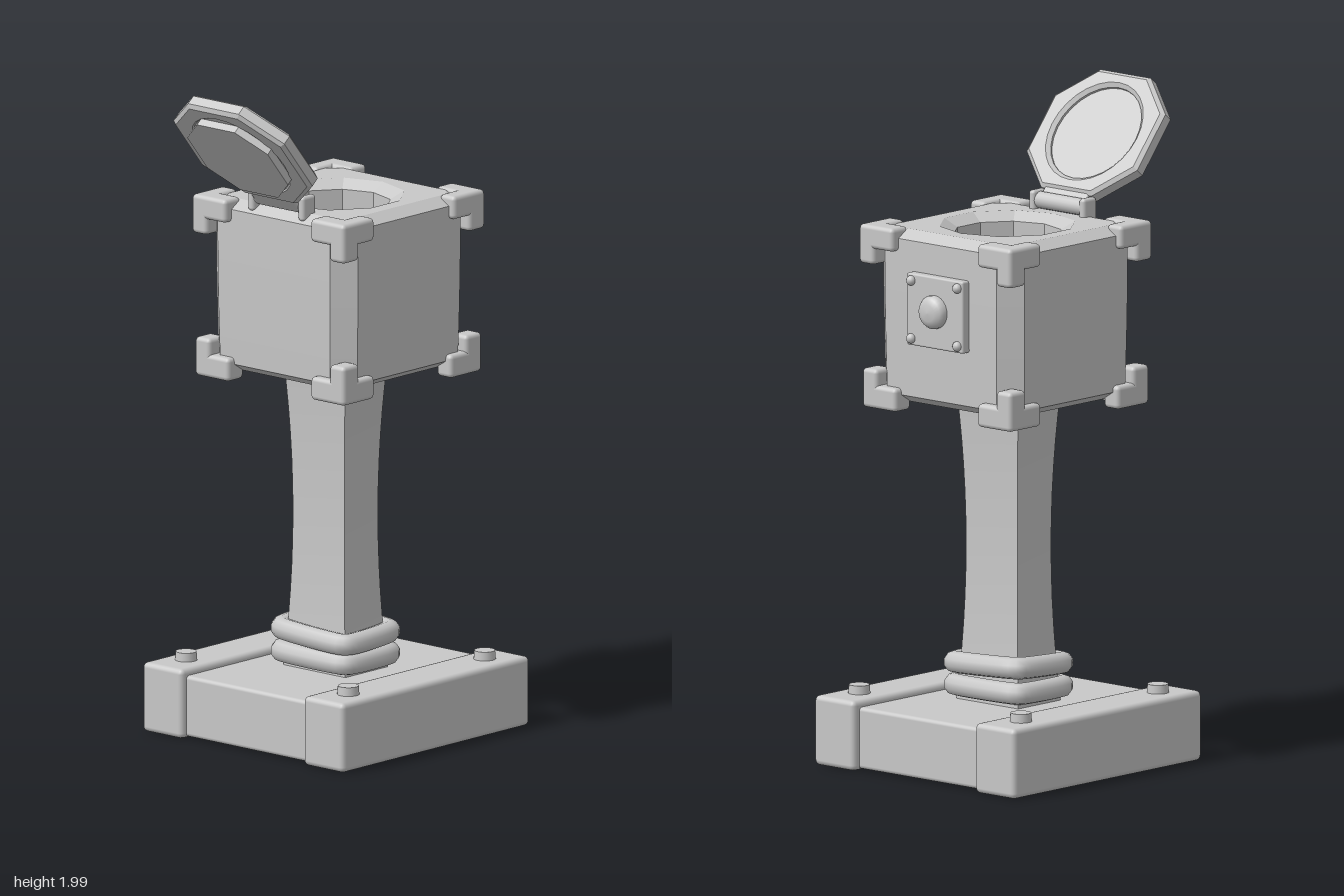
import * as THREE from 'three';
import { RoundedBoxGeometry } from 'three/addons/geometries/RoundedBoxGeometry.js';

const grey = new THREE.MeshStandardMaterial({ color: 0xc8c8c8 });
grey.name = 'plain grey';

function add(parent, name, geometry, x = 0, y = 0, z = 0) {
  const mesh = new THREE.Mesh(geometry, grey);
  mesh.name = name;
  mesh.position.set(x, y, z);
  parent.add(mesh);
  return mesh;
}

// Rounded block given by its limits on each axis
function block(parent, name, [x0, x1], [y0, y1], [z0, z1], r = 0.012) {
  return add(parent, name, new RoundedBoxGeometry(x1 - x0, y1 - y0, z1 - z0, 2, r),
    (x0 + x1) / 2, (y0 + y1) / 2, (z0 + z1) / 2);
}

// Rectangle with cut corners
function cutRect(hx, hy, cx, cy = cx) {
  return new THREE.Shape([
    [hx, -hy + cy], [hx, hy - cy], [hx - cx, hy], [-hx + cx, hy],
    [-hx, hy - cy], [-hx, -hy + cy], [-hx + cx, -hy], [hx - cx, -hy],
  ].map(([x, y]) => new THREE.Vector2(x, y)));
}

// Regular polygon hole with a corner on +x
function hole(shape, x, r, n) {
  const pts = [];
  for (let i = 0; i < n; i++) {
    const a = -i / n * Math.PI * 2;
    pts.push(new THREE.Vector2(x + r * Math.cos(a), r * Math.sin(a)));
  }
  shape.holes.push(new THREE.Path(pts));
  return shape;
}

function makeBase(root) {
  const g = new THREE.Group();
  g.name = 'base';
  root.add(g);
  block(g, 'middlePlank', [-0.33, 0.45], [0.005, 0.19], [-0.25, 0.25]);
  for (const s of [-1, 1]) {
    block(g, 'sidePlank', [-0.35, 0.475], [0, 0.21], s < 0 ? [-0.4, -0.24] : [0.24, 0.4], 0.016);
    for (const x of [-0.24, 0.36])
      add(g, 'bolt', new THREE.CylinderGeometry(0.031, 0.034, 0.04, 20), x, 0.216, s * 0.322);
  }
}

function makePost(root) {
  // Square post, waisted in the middle
  const geo = new THREE.BoxGeometry(2, 0.95, 2, 1, 12, 1);
  const p = geo.attributes.position;
  for (let i = 0; i < p.count; i++) {
    const t = p.getY(i) / 0.475;
    const flare = 0.02 * t * t;
    p.setX(i, p.getX(i) * (0.074 + flare));
    p.setZ(i, p.getZ(i) * (0.102 + flare * 1.1));
  }
  geo.computeVertexNormals();
  add(root, 'post', geo, 0.06, 0.655, 0);

  // Two rope turns round the foot
  const a = 0.105, b = 0.137, c = 0.035;
  const pts = [];
  for (const [sx, sz] of [[1, 1], [-1, 1], [-1, -1], [1, -1]]) {
    const first = [sx * a, sz * (b - c)], second = [sx * (a - c), sz * b];
    const mid = [sx * (a - c * 0.25), sz * (b - c * 0.25)];
    const run = sx * sz > 0 ? [first, mid, second] : [second, mid, first];
    run.forEach(([x, z]) => pts.push(new THREE.Vector3(x, 0, z)));
  }
  const path = new THREE.CatmullRomCurve3(pts, true);
  [[0.234, 0.01], [0.302, 0.05]].forEach(([y, tilt]) => {
    const rope = add(root, 'ropeTurn', new THREE.TubeGeometry(path, 72, 0.033, 10, true), 0.06, y, 0);
    rope.rotation.set(tilt, 0, tilt);
  });
}

function makeBox(root) {
  const g = new THREE.Group();
  g.name = 'box';
  root.add(g);
  const cx = 0.073, y0 = 1.1, y1 = 1.62;

  // Shell with a bevelled round opening, slightly wider at the top and bulged
  const shape = hole(cutRect(0.243, 0.24, 0.035), -0.008, 0.203, 10);
  const geo = new THREE.ExtrudeGeometry(shape, {
    depth: y1 - y0 - 0.05, steps: 6, bevelEnabled: true,
    bevelSize: 0.04, bevelThickness: 0.025, bevelSegments: 1,
  });
  geo.rotateX(-Math.PI / 2);
  geo.translate(0, y0 + 0.025, 0);
  const p = geo.attributes.position;
  for (let i = 0; i < p.count; i++) {
    const t = (p.getY(i) - y0) / (y1 - y0);
    const k = 0.98 + 0.025 * t + 0.03 * t * (1 - t);
    p.setX(i, p.getX(i) * k);
    p.setZ(i, p.getZ(i) * k);
  }
  geo.computeVertexNormals();
  add(g, 'shell', geo, cx, 0, 0);
  add(g, 'floor', new THREE.BoxGeometry(0.47, 0.035, 0.46), cx, y0 + 0.0165, 0);

  // Smooth cup lining the opening
  const cup = new THREE.LatheGeometry(
    [[0, 1.14], [0.132, 1.14], [0.137, 1.56], [0.158, 1.595], [0.172, 1.592]]
      .map(([r, y]) => new THREE.Vector2(r, y)), 20);
  cup.scale(-1, 1, 1);
  const idx = cup.index.array;
  for (let i = 0; i < idx.length; i += 3) [idx[i], idx[i + 1]] = [idx[i + 1], idx[i]];
  const toCup = cup.toNonIndexed();
  toCup.computeVertexNormals();
  const lining = add(g, 'cupLining', toCup, cx - 0.008, 0, 0);
  lining.material = cupGrey;

  // Three-armed guard on every corner
  for (const sx of [-1, 1]) for (const sz of [-1, 1]) for (const sy of [-1, 1]) {
    const corner = new THREE.Group();
    corner.name = 'cornerGuard';
    const w = 0.07, ox = sy > 0 ? 0.312 : 0.305, oz = sy > 0 ? 0.303 : 0.297;
    const oy = sy > 0 ? 1.626 : 1.075;
    const arm = (lx, ly, lz) => add(corner, 'guardArm', new RoundedBoxGeometry(lx, ly, lz, 2, 0.013),
      cx + sx * (ox - lx / 2), oy - sy * ly / 2, sz * (oz - lz / 2));
    arm(0.138, w, w - 0.01);
    arm(w, w, 0.135);
    arm(w, 0.118, w - 0.01);
    g.add(corner);
  }

  // Plate with knob and rivets on the side
  block(g, 'sidePlate', [0.35, 0.384], [1.288, 1.504], [-0.112, 0.112], 0.006);
  const knob = new THREE.LatheGeometry(
    [[0.05, 0], [0.05, 0.016], [0.042, 0.028], [0.025, 0.036], [0, 0.038]]
      .map(([r, y]) => new THREE.Vector2(r, y)), 24);
  knob.rotateZ(-Math.PI / 2);
  add(g, 'knob', knob, 0.38, 1.4, 0);
  for (const y of [-1, 1]) for (const z of [-1, 1]) {
    const rivet = new THREE.SphereGeometry(0.015, 12, 8);
    add(g, 'rivet', rivet, 0.386, 1.396 + y * 0.087, z * 0.092);
  }
}

const cupGrey = grey;

function makeLid(root) {
  // Hinge lugs and pin
  for (const s of [-1, 1])
    block(root, 'hingeLug', [-0.205, -0.148], [1.6, 1.675], s < 0 ? [-0.112, -0.088] : [0.088, 0.112], 0.01);
  const pin = add(root, 'hingePin', new THREE.CylinderGeometry(0.025, 0.025, 0.18, 16), -0.176, 1.645, 0);
  pin.rotation.x = Math.PI / 2;

  // Open lid leaning outward, its inner face towards +x
  const lid = new THREE.Group();
  lid.name = 'lid';
  lid.position.set(-0.335, 1.826, 0);
  lid.rotation.set(0, Math.PI / 2, 0.69, 'ZYX');
  root.add(lid);

  const frame = hole(cutRect(0.217, 0.202, 0.118, 0.106), 0, 0.16, 28);
  const frameGeo = new THREE.ExtrudeGeometry(frame, {
    depth: 0.03, bevelEnabled: true, bevelSize: 0.012, bevelOffset: -0.009,
    bevelThickness: 0.01, bevelSegments: 1,
  });
  add(lid, 'lidFrame', frameGeo, 0, 0, -0.015);

  // Recessed panel, and a raised plate on the outside
  const disc = add(lid, 'lidPanel', new THREE.CylinderGeometry(0.165, 0.165, 0.03, 28), 0, 0, -0.007);
  disc.rotation.x = Math.PI / 2;
  const back = new THREE.ExtrudeGeometry(cutRect(0.16, 0.15, 0.085, 0.08), { depth: 0.024, bevelEnabled: false });
  add(lid, 'lidBackPlate', back, 0, 0, -0.046);
  block(lid, 'hingeTab', [-0.088, 0.088], [-0.255, -0.18], [-0.018, 0.018], 0.008);
}

export function createModel() {
  const root = new THREE.Group();
  root.name = 'pedestalBox';
  makeBase(root);
  makePost(root);
  makeBox(root);
  makeLid(root);
  return root;
}
